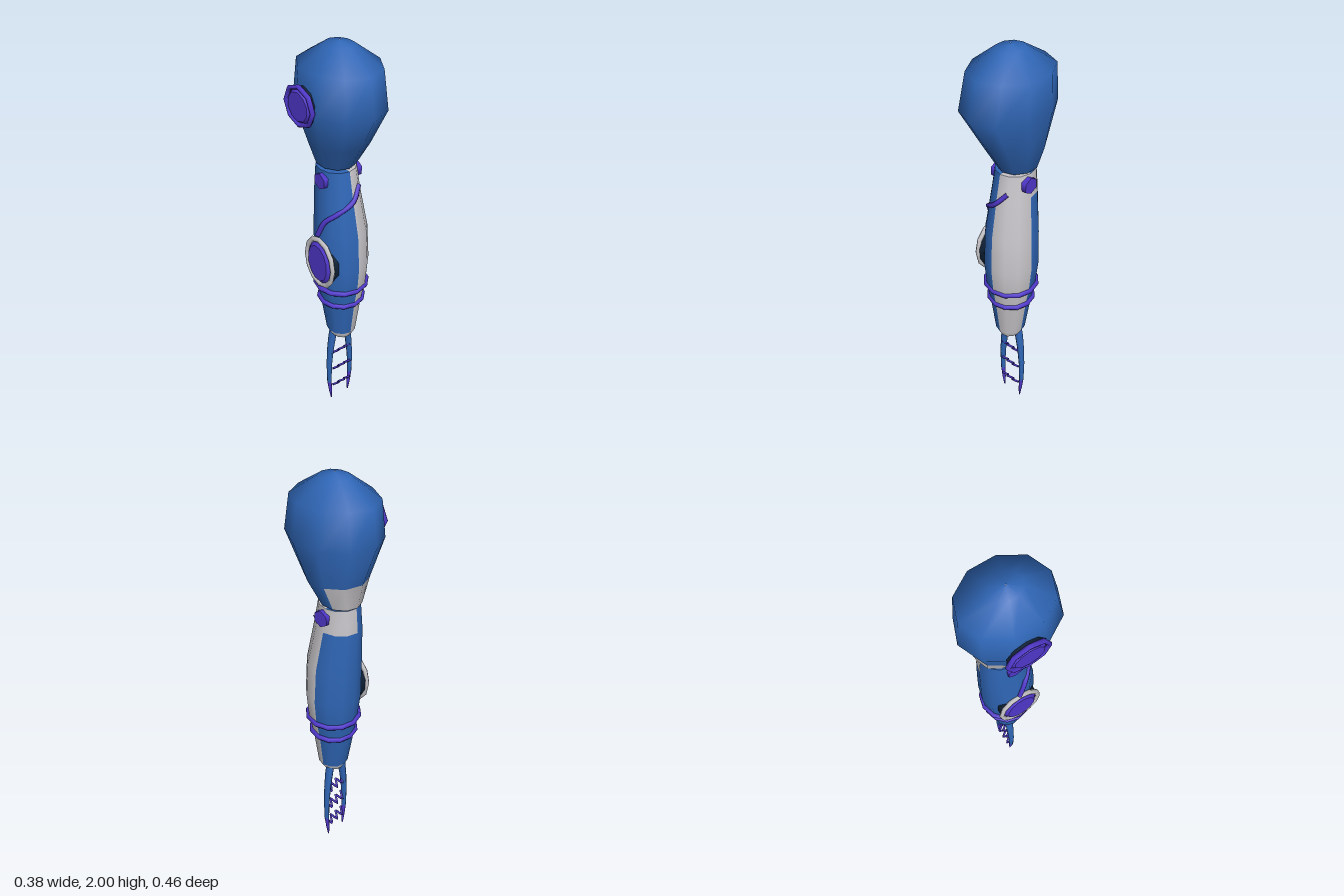
import * as THREE from 'three';

const make = (name, color) => {
  const m = new THREE.MeshStandardMaterial({ color });
  m.name = name;
  return m;
};

export function createModel() {
  const blue = make('blue', 0x2f66b6);
  const white = make('white', 0xc8c6ca);
  const purple = make('purple', 0x5038cc);
  const dark = make('dark navy', 0x0e2036);
  const model = new THREE.Group();

  const add = (name, geometry, material) => {
    const mesh = new THREE.Mesh(geometry, material);
    mesh.name = name;
    model.add(mesh);
    return mesh;
  };

  // Smooth loft through elliptical rings [y, cx, cz, rx, rz], bottom to top.
  // A repeated ring makes a hard edge; pick(row, side) chooses the material index.
  const loft = (rings, sides, pick) => {
    const pos = [], faces = [[], []];
    rings.forEach(([y, cx, cz, rx, rz], j) => {
      for (let i = 0; i < sides; i++) {
        const t = (i / sides) * Math.PI * 2;
        pos.push(cx + rx * Math.sin(t), y, cz + rz * Math.cos(t));
      }
      if (!j || rings[j] === rings[j - 1]) return;
      for (let i = 0; i < sides; i++) {
        const k = (i + 1) % sides, lo = (j - 1) * sides, hi = j * sides;
        faces[pick(j - 1, i)].push(lo + i, lo + k, hi + k, lo + i, hi + k, hi + i);
      }
    });
    const g = new THREE.BufferGeometry();
    g.setAttribute('position', new THREE.Float32BufferAttribute(pos, 3));
    g.setIndex(faces.flat());
    g.addGroup(0, faces[0].length, 0);
    g.addGroup(faces[0].length, faces[1].length, 1);
    g.computeVertexNormals();
    return g;
  };

  // Head, with a pale patch low on the back
  const headBase = [1.43, 0.025, -0.045, 0.088, 0.1];
  add('head', loft([
    [1.43, 0.025, -0.045, 0.001, 0.001], headBase, headBase,
    [1.55, 0.025, -0.022, 0.137, 0.147],
    [1.73, 0.012, 0.002, 0.187, 0.228],
    [1.9, 0.018, -0.008, 0.172, 0.203],
    [1.985, 0.015, -0.005, 0.06, 0.07],
    [2.0, 0.015, -0.005, 0.002, 0.002],
  ], 10, (row, i) => (row === 2 && i >= 3 && i <= 6 ? 1 : 0)), [blue, white]);

  // Neck
  const neck = add('neck', new THREE.CylinderGeometry(0.06, 0.06, 0.06, 12), blue);
  neck.position.set(0.025, 1.42, -0.04);

  // Body: pale front-left quarter, collar panel and lower tip
  const tip = [0.5, 0.025, 0, 0.073, 0.075];
  const rim = [1.42, 0.02, -0.035, 0.09, 0.098];
  const foot = [0.46, 0.025, 0.002, 0.05, 0.053];
  add('body', loft([
    [0.46, 0.025, 0.002, 0.001, 0.001], foot, foot, tip,
    [0.7, 0.025, -0.003, 0.1, 0.105],
    [0.8, 0.027, -0.001, 0.118, 0.122],
    [0.92, 0.027, -0.003, 0.129, 0.134],
    [1.1, 0.025, -0.008, 0.124, 0.131],
    [1.3, 0.02, -0.028, 0.1, 0.114],
    rim, rim, [1.42, 0.02, -0.035, 0.001, 0.001],
  ], 12, (row, i) => (row < 3 || i < 3 || (row === 8 && i < 6) ? 1 : 0)), [blue, white]);

  // Bands round the lower body
  for (const [y, r] of [[0.79, 0.123], [0.7, 0.106]]) {
    const band = add('band', new THREE.TorusGeometry(r, 0.013, 6, 12), purple);
    band.rotation.x = Math.PI / 2;
    band.position.set(0.025, y, -0.003);
  }

  // Discs lying against the sides, their axis along x
  const sideDisc = (name, material, [x, y, z], ry, rz, depth, sides, taper = 1) => {
    const g = new THREE.CylinderGeometry(taper, 1, depth, sides);
    g.rotateY(Math.PI / sides);
    const mesh = add(name, g, material);
    mesh.rotation.z = Math.PI / 2;
    mesh.scale.set(ry, 1, rz);
    mesh.position.set(x, y, z);
  };
  const sideRing = (name, material, [x, y, z], ry, rz, tube, sides) => {
    const g = new THREE.TorusGeometry(1, tube, 6, sides);
    g.rotateY(Math.PI / 2);
    const mesh = add(name, g, material);
    mesh.scale.set(0.09, ry, rz);
    mesh.position.set(x, y, z);
  };

  // Shoulder bolts
  sideDisc('leftBolt', purple, [0.113, 1.37, -0.02], 0.04, 0.04, 0.03, 6);
  sideDisc('rightBolt', purple, [-0.07, 1.37, -0.02], 0.04, 0.04, 0.03, 6);

  // Round badge on the head
  sideDisc('headBadgeBacking', dark, [-0.164, 1.755, -0.025], 0.085, 0.09, 0.02, 10);
  sideDisc('headBadge', purple, [-0.178, 1.755, -0.025], 0.08, 0.085, 0.018, 10, 0.8);
  sideRing('headBadgeRim', purple, [-0.177, 1.755, -0.025], 0.085, 0.093, 0.12, 8);

  // Oval badge on the body
  sideDisc('bodyBadgeBacking', dark, [-0.08, 0.94, -0.005], 0.11, 0.1, 0.04, 12);
  sideDisc('bodyBadge', purple, [-0.106, 0.945, -0.005], 0.12, 0.09, 0.018, 12, 0.8);
  sideRing('bodyBadgeRim', white, [-0.1, 0.945, -0.005], 0.125, 0.1, 0.12, 12);

  // Strap across the chest
  const strap = new THREE.CatmullRomCurve3([
    [0.07, 1.34, 0.065], [0.02, 1.28, 0.092], [-0.05, 1.225, 0.066],
    [-0.09, 1.18, 0.025], [-0.106, 1.1, -0.01],
  ].map((p) => new THREE.Vector3(...p)));
  add('strap', new THREE.TubeGeometry(strap, 20, 0.012, 6), purple);

  // Two curved prongs with purple tips: [y, offset, rx, rz]
  const prong = [
    [0.005, 0.055, 0.002, 0.004], [0.06, 0.06, 0.008, 0.009], [0.13, 0.067, 0.011, 0.012],
    [0.25, 0.067, 0.013, 0.016], [0.36, 0.058, 0.016, 0.019], [0.44, 0.046, 0.018, 0.022],
    [0.49, 0.036, 0.018, 0.022],
  ];
  for (const s of [1, -1]) {
    const rings = prong.map(([y, o, rx, rz]) => [y, 0.025 + s * o, -0.015, rx, rz]);
    add(s > 0 ? 'leftProng' : 'rightProng',
      loft(rings, 8, (row) => (row < 2 ? 1 : 0)), [blue, purple]);
  }

  // Zigzag wires between the prongs
  for (const y of [0.325, 0.21, 0.093]) {
    const wire = new THREE.CurvePath();
    const pts = [];
    for (let i = 0; i <= 6; i++) {
      const w = i % 2 ? -0.016 : 0.016;
      pts.push(new THREE.Vector3(-0.035 + i * 0.02, y + w, -0.012 + w));
    }
    for (let i = 0; i < 6; i++) wire.add(new THREE.LineCurve3(pts[i], pts[i + 1]));
    add('zigzagWire', new THREE.TubeGeometry(wire, 24, 0.006, 5), purple);
  }

  return model;
}
